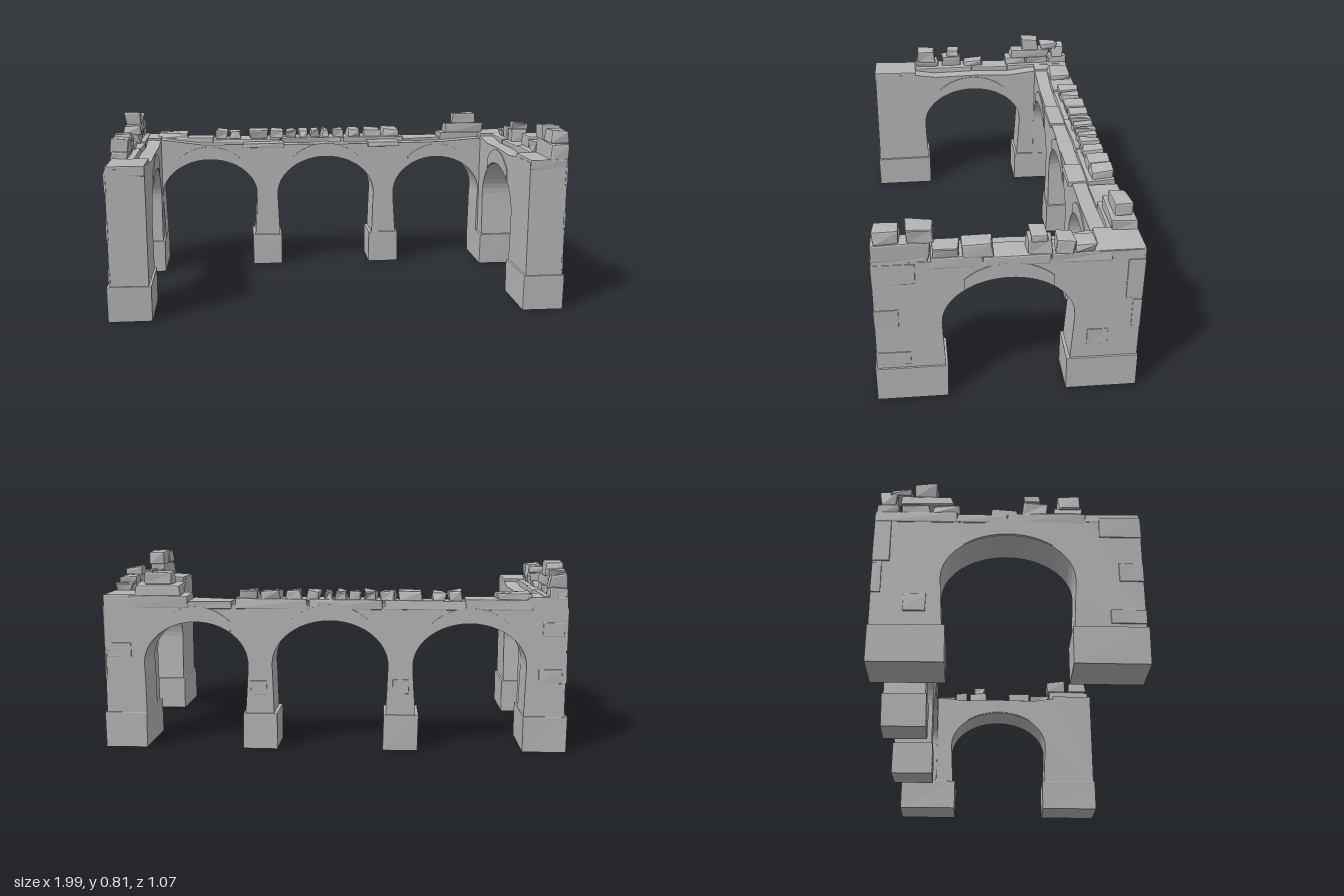
import * as THREE from 'three';
import { RoundedBoxGeometry } from 'three/addons/geometries/RoundedBoxGeometry.js';

// Small seeded generator for uneven stones
let seed = 7;
const rnd = () => {
  seed = (seed * 16807) % 2147483647;
  return seed / 2147483647 - 0.5;
};

const SPRING = 0.37, PLINTH = 0.157;

// Half-ellipse points of an arch, from angle a0 to a1 (degrees), left to right
function arc([l, r, apex], a0, a1, grow = 1, n = 24) {
  const c = (l + r) / 2, a = (r - l) / 2, b = (apex - SPRING) * grow;
  return Array.from({ length: n + 1 }, (_, i) => {
    const t = THREE.MathUtils.degToRad(a0 + (a1 - a0) * i / n);
    return new THREE.Vector2(c + a * Math.cos(t), SPRING + b * Math.sin(t));
  });
}

// Wall outline: piers between arches along the bottom, uneven top edge
function wallShape(u0, u1, arches, top) {
  const pts = [new THREE.Vector2(u0, 0.14)];
  for (const A of arches) {
    pts.push(new THREE.Vector2(A[0] + (A[3] ?? 0.012), 0.14), new THREE.Vector2(A[0] + 0.003, 0.3));
    pts.push(...arc(A, 180, 0));
    pts.push(new THREE.Vector2(A[1] - 0.003, 0.3), new THREE.Vector2(A[1] - (A[4] ?? 0.012), 0.14));
  }
  pts.push(new THREE.Vector2(u1, 0.14));
  for (const [u, y] of top) pts.push(new THREE.Vector2(u, y));
  return new THREE.Shape(pts);
}

// Thin raised band over an arch
const bandShape = (A) => new THREE.Shape([...arc(A, 132, 48, 1.36, 14), ...arc(A, 48, 132, 1.02, 14)]);

const extrude = (shape, depth) => new THREE.ExtrudeGeometry(shape, { depth, bevelEnabled: false });

export function createModel() {
  seed = 7;
  const root = new THREE.Group();
  root.name = 'ruinedArcade';
  const stoneMat = new THREE.MeshStandardMaterial({ color: 0xb5b5b5, flatShading: true });
  stoneMat.name = 'greyStone';

  const add = (name, geo) => {
    const m = new THREE.Mesh(geo, stoneMat);
    m.name = name;
    root.add(m);
    return m;
  };

  // Chamfered block whose eight corners are nudged a little
  function block(name, x0, x1, y0, y1, z0, z1, wobble = 0.012, chamfer = 0.007) {
    const w = x1 - x0, h = y1 - y0, d = z1 - z0;
    const geo = new RoundedBoxGeometry(w, h, d, 1, Math.min(chamfer, h / 4, w / 4, d / 4));
    const off = Array.from({ length: 8 }, () => [rnd() * wobble, rnd() * wobble, rnd() * wobble]);
    const p = geo.attributes.position;
    for (let i = 0; i < p.count; i++) {
      const x = p.getX(i), y = p.getY(i), z = p.getZ(i);
      const o = off[(x > 0 ? 1 : 0) + (y > 0 ? 2 : 0) + (z > 0 ? 4 : 0)];
      p.setXYZ(i, x + o[0], y + (y > 0 ? o[1] : 0), z + o[2]);
    }
    geo.computeVertexNormals();
    geo.translate((x0 + x1) / 2, (y0 + y1) / 2, (z0 + z1) / 2);
    return add(name, geo);
  }

  // Back wall with three arches
  const backArches = [[-0.82, -0.34, 0.553, 0.008, -0.012], [-0.235, 0.262, 0.562, 0.01, 0.008], [0.365, 0.815, 0.553, -0.01, 0.005]];
  backArches[0][4] = 0.014;
  backArches[2][3] = 0.014;
  const backTop = [[0.983, 0.655], [0.8, 0.645], [0.6, 0.63], [0.2, 0.625], [-0.3, 0.627], [-0.62, 0.63], [-0.8, 0.655], [-0.985, 0.66]];
  add('backWall', extrude(wallShape(-0.985, 0.983, backArches, backTop), 0.185).translate(0, 0, -0.527));
  for (const A of backArches) {
    add('backArchBand', extrude(bandShape(A), 0.195).translate(0, 0, -0.532));
  }

  // Side walls with one arch each
  const sideArch = [-0.262, 0.262, 0.565];
  const sideTop = [[0.525, 0.66], [0.3, 0.655], [0.2, 0.64], [0, 0.645], [-0.2, 0.64], [-0.32, 0.655], [-0.527, 0.66]];
  for (const [side, x] of [['left', 0.985], ['right', -0.82]]) {
    add(side + 'SideWall', extrude(wallShape(-0.527, 0.525, [sideArch], sideTop), 0.165).rotateY(-Math.PI / 2).translate(x, 0, 0));
    add(side + 'ArchBand', extrude(bandShape(sideArch), 0.173).rotateY(-Math.PI / 2).translate(x + 0.004, 0, 0));
  }

  // Plinths under every pier
  for (const s of [-1, 1]) {
    const [a, b] = s < 0 ? [-0.998, -0.81] : [0.81, 0.993];
    block('frontPlinth', a, b, 0, PLINTH, 0.242, 0.532, 0.004, 0.003);
    block('cornerPlinth', a, b, 0, PLINTH, -0.532, -0.238, 0.004, 0.003);
  }
  block('middlePlinth', -0.365, -0.215, 0, PLINTH, -0.532, -0.335, 0.004, 0.003);
  block('middlePlinth', 0.24, 0.39, 0, PLINTH, -0.532, -0.335, 0.004, 0.003);

  // Slightly raised facing stones on the piers
  for (const s of [-1, 1]) {
    const face = (y0, y1, z0, z1) => {
      const [a, b] = s < 0 ? [-0.99, -0.98] : [0.978, 0.988];
      block('facingStone', a, b, y0, y1, z0, z1, 0.003, 0.002);
    };
    face(0.36, 0.44, 0.43, 0.527);
    face(0.175, 0.235, 0.39, 0.527);
    face(0.56, 0.65, 0.36, 0.527);
    face(0.44, 0.62, -0.528, -0.46);
    face(0.22, 0.295, -0.4, -0.315);
    face(0.3, 0.43, -0.528, -0.49);
  }
  for (const [x, y, w] of [[-0.92, 0.3, 0.1], [-0.93, 0.5, 0.09], [-0.29, 0.25, 0.07], [0.02, 0.585, 0.1], [0.32, 0.24, 0.07], [0.92, 0.4, 0.1]]) {
    block('facingStone', x - w / 2, x + w / 2, y, y + 0.06, -0.531, -0.52, 0.003, 0.002);
  }

  // Flat course on top of the back wall
  for (const [a, b, y] of [[-0.84, -0.56, 0.655], [-0.56, -0.22, 0.648], [-0.21, 0.1, 0.65], [0.11, 0.42, 0.652], [0.43, 0.62, 0.643], [0.62, 0.88, 0.668]]) {
    block('backCourse', a, b, 0.61, y, -0.529, -0.405, 0.008, 0.004);
  }
  // Ledge stones just proud of the inner face
  block('ledgeStone', -0.41, -0.2, 0.612, 0.634, -0.45, -0.335, 0.005, 0.003);
  block('ledgeStone', 0.23, 0.39, 0.612, 0.636, -0.45, -0.325, 0.005, 0.003);

  // Row of loose stones along the back wall
  for (const [a, b] of [[-0.545, -0.485], [-0.475, -0.42], [-0.375, -0.28], [-0.265, -0.2], [-0.185, -0.135], [-0.12, -0.07], [-0.06, -0.01],
    [0.0, 0.04], [0.055, 0.11], [0.135, 0.2], [0.225, 0.305], [0.32, 0.405]]) {
    block('crestStone', a, b, 0.645, 0.688, -0.522, -0.425);
  }
  block('crestSlab', -0.84, -0.69, 0.65, 0.68, -0.52, -0.415);
  block('crestSlab', 0.655, 0.85, 0.66, 0.712, -0.52, -0.42);
  block('crestSlab', 0.69, 0.81, 0.71, 0.766, -0.505, -0.435);

  // Side wall courses and broken stone stacks: [y0, y1, z0, z1]
  const stacks = {
    right: [
      [0.62, 0.672, -0.52, -0.2], [0.62, 0.665, -0.2, 0.0], [0.62, 0.668, 0.0, 0.31],
      [0.655, 0.705, -0.525, -0.43], [0.655, 0.705, -0.42, -0.31], [0.66, 0.7, -0.3, -0.19],
      [0.7, 0.762, -0.51, -0.44], [0.7, 0.745, -0.43, -0.22], [0.745, 0.78, -0.47, -0.385], [0.74, 0.802, -0.37, -0.285],
      [0.66, 0.695, 0.18, 0.3], [0.69, 0.755, 0.2, 0.295], [0.66, 0.722, 0.06, 0.16], [0.72, 0.755, 0.067, 0.13],
      [0.655, 0.69, -0.06, 0.04],
    ],
    left: [
      [0.62, 0.672, 0.1, 0.3], [0.62, 0.668, -0.16, 0.1], [0.62, 0.668, -0.4, -0.16],
      [0.662, 0.74, 0.3, 0.525], [0.74, 0.796, 0.41, 0.512], [0.738, 0.805, 0.287, 0.388],
      [0.665, 0.715, 0.19, 0.29], [0.665, 0.725, 0.065, 0.18],
      [0.66, 0.725, -0.165, -0.07], [0.72, 0.757, -0.145, -0.08], [0.66, 0.725, -0.25, -0.175], [0.665, 0.7, -0.33, -0.255],
    ],
  };
  for (const side of ['right', 'left']) {
    for (const [y0, y1, z0, z1] of stacks[side]) {
      const course = y0 < 0.65;
      const inner = course ? 0.885 : 0.91, outer = 0.987;
      const [a, b] = side === 'right' ? [-outer, -inner] : [inner, outer];
      block(course ? side + 'Course' : side + 'LooseStone', a, b, y0, y1, z0, z1, course ? 0.006 : 0.012);
    }
  }
  // Broad top slabs on the corners and front piers
  for (const s of [-1, 1]) {
    const [a, b] = s < 0 ? [-0.985, -0.82] : [0.82, 0.985];
    block('pierSlab', a, b, 0.63, 0.672, 0.31, 0.525, 0.006, 0.004);
    block('cornerSlab', a, b, 0.63, 0.668, -0.525, -0.345, 0.006, 0.004);
  }

  return root;
}
